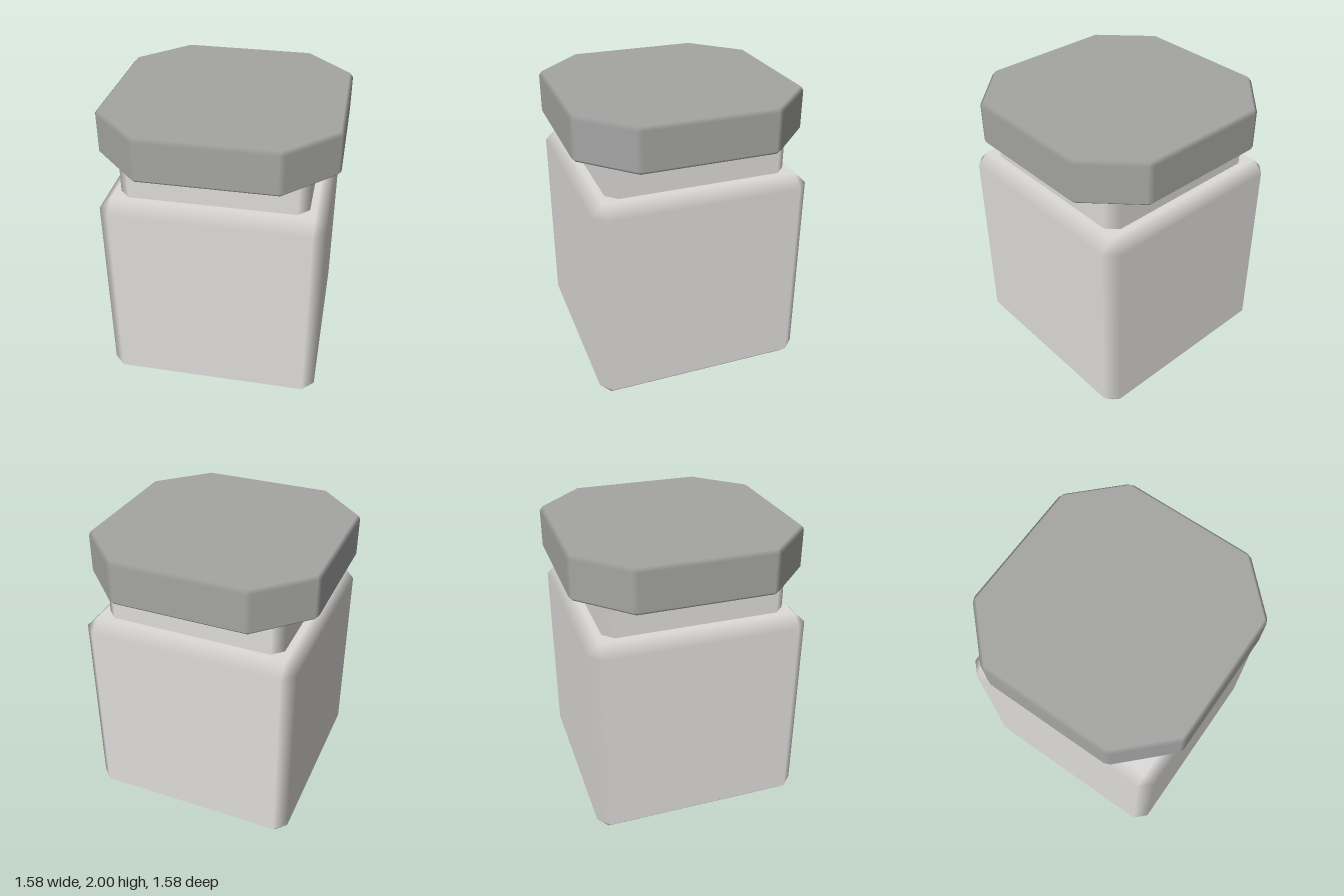
import * as THREE from 'three';

// Prism with every edge bevelled. Flat faces keep their own normals, so the bevels shade softly.
// corners: [x, z] footprint, listed front-left, front-right, back-right ...
function beveledPrism(corners, y0, y1, bevel, trim) {
  const n = corners.length;
  const P = corners.map(([x, z]) => new THREE.Vector2(x, z));
  const dirs = P.map((p, i) => P[(i + 1) % n].clone().sub(p).normalize());
  const norms = dirs.map(d => new THREE.Vector2(-d.y, d.x));
  const pos = [], nor = [], idx = [];
  const vert = (p, y, nx, ny, nz) => { pos.push(p.x, y, p.y); nor.push(nx, ny, nz); };
  const quad = (a, b, c, d) => idx.push(a, b, c, a, c, d);

  // Per side: four wall corners, then the top and bottom cap corners
  for (let i = 0; i < n; i++) {
    const m = norms[i], prev = norms[(i + n - 1) % n];
    const a = P[i].clone().addScaledVector(dirs[i], trim);
    const b = P[(i + 1) % n].clone().addScaledVector(dirs[i], -trim);
    const c = P[i].clone().addScaledVector(m.clone().add(prev), -bevel / (1 + m.dot(prev)));
    vert(a, y0 + bevel, m.x, 0, m.y);
    vert(b, y0 + bevel, m.x, 0, m.y);
    vert(b, y1 - bevel, m.x, 0, m.y);
    vert(a, y1 - bevel, m.x, 0, m.y);
    vert(c, y1, 0, 1, 0);
    vert(c, y0, 0, -1, 0);
  }
  for (let i = 0; i < n; i++) {
    const s = i * 6, t = ((i + 1) % n) * 6;
    quad(s, s + 1, s + 2, s + 3);          // wall
    quad(s + 3, s + 2, t + 4, s + 4);      // top bevel
    quad(s + 5, t + 5, s + 1, s);          // bottom bevel
    quad(s + 1, t, t + 3, s + 2);          // upright bevel
    idx.push(s + 2, t + 3, t + 4);         // corner facets
    idx.push(t + 5, t, s + 1);
    if (i > 0 && i < n - 1) idx.push(4, s + 4, t + 4, 5, t + 5, s + 5); // caps
  }
  const g = new THREE.BufferGeometry();
  g.setAttribute('position', new THREE.Float32BufferAttribute(pos, 3));
  g.setAttribute('normal', new THREE.Float32BufferAttribute(nor, 3));
  g.setIndex(idx);
  return g;
}

const square = r => [[-r, r], [r, r], [r, -r], [-r, -r]];
const octagon = (r, k) => [[-k, r], [k, r], [r, k], [r, -k], [k, -r], [-k, -r], [-r, -k], [-r, k]];

export function createModel() {
  const jarMaterial = new THREE.MeshStandardMaterial({ color: 0xdedcda });
  jarMaterial.name = 'pale grey jar';
  const lidMaterial = new THREE.MeshStandardMaterial({ color: 0xa5a5a4 });
  lidMaterial.name = 'mid grey lid';

  const group = new THREE.Group();
  group.name = 'jar';
  const add = (name, geometry, material) => {
    const mesh = new THREE.Mesh(geometry, material);
    mesh.name = name;
    group.add(mesh);
  };

  add('body', beveledPrism(square(0.74), 0, 1.48, 0.08, 0.08), jarMaterial);
  // Neck ends are buried in the body and lid
  add('neck', beveledPrism(square(0.62), 1.38, 1.8, 0.07, 0.07), jarMaterial);
  add('lid', beveledPrism(octagon(0.79, 0.46), 1.695, 2, 0.024, 0.022), lidMaterial);
  return group;
}
